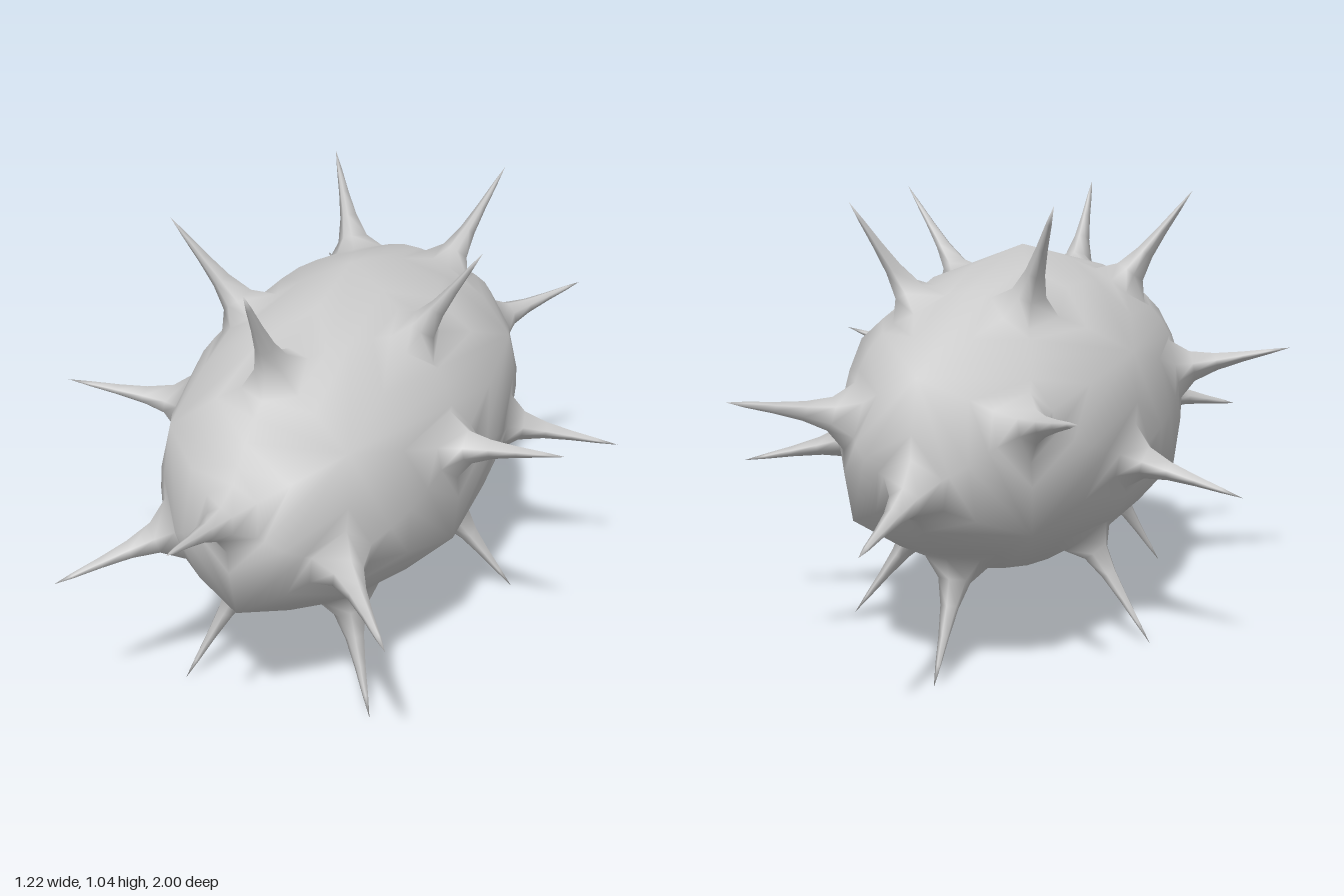
import * as THREE from 'three';
import { mergeVertices } from 'three/addons/utils/BufferGeometryUtils.js';

const CENTRE_Y = 0.52;
const BODY = new THREE.Vector3(0.393, 0.393, 0.782); // ellipsoid radii of the hull
const TIPS = new THREE.Vector3(0.652, 0.652, 1.018); // ellipsoid through the spike tips

// Spike rings from tip to root: [radius, height along the spike axis]
const SPIKE = [[0.007, 0.205], [0.014, 0.14], [0.024, 0.075], [0.042, 0.02], [0.085, -0.012]];

// The 20 triangles of an icosahedron standing on a corner, wound outwards
function icosahedronFaces() {
  const ring = (k, y, shift) => {
    const a = (k * 72 + shift) * Math.PI / 180, r = Math.sqrt(0.8);
    return new THREE.Vector3(Math.sin(a) * r, y, Math.cos(a) * r);
  };
  const top = new THREE.Vector3(0, 1, 0), bottom = new THREE.Vector3(0, -1, 0);
  const faces = [];
  for (let k = 0; k < 5; k++) {
    const u0 = ring(k, Math.sqrt(0.2), 36), u1 = ring(k + 1, Math.sqrt(0.2), 36);
    const l0 = ring(k, -Math.sqrt(0.2), 0), l1 = ring(k + 1, -Math.sqrt(0.2), 0);
    faces.push([top, u0, u1], [u0, l1, u1], [l0, l1, u0], [bottom, l1, l0]);
  }
  return faces;
}

// One hull panel rising into a spike: six-sided loops from the tip to the panel border
function panelLoops([a, b, c]) {
  const dir = a.clone().add(b).add(c).normalize();
  const root = dir.clone().multiply(BODY);
  const tip = dir.clone().multiply(TIPS);
  const axis = tip.clone().sub(root).normalize();
  const mid = (p, q) => p.clone().add(q).normalize();
  const border = [a, mid(a, b), b, mid(b, c), c, mid(c, a)];
  const edge = border.map((p, i) => p.clone().multiply(BODY).multiplyScalar(i % 2 ? 0.95 : 1));
  const loops = [edge.map(() => tip)];
  for (const [r, h] of SPIKE) {
    loops.push(edge.map((e) => e.clone().sub(root).setLength(r)
      .add(root).addScaledVector(axis, h)));
  }
  // slightly sunken skirt between spike root and border
  loops.push(border.map((p, i) => dir.clone().lerp(p, i % 2 ? 0.68 : 0.55).normalize()
    .multiply(BODY).multiplyScalar(0.945)));
  loops.push(edge);
  return loops;
}

export function createModel() {
  const positions = [];
  const triangle = (...pts) => pts.forEach((p) => positions.push(p.x, p.y, p.z));
  for (const face of icosahedronFaces()) {
    const loops = panelLoops(face);
    for (let j = 0; j < loops.length - 1; j++) {
      for (let i = 0; i < 6; i++) {
        const n = (i + 1) % 6;
        const inner = loops[j], outer = loops[j + 1];
        triangle(inner[i], outer[i], outer[n]);
        if (j > 0) triangle(inner[i], outer[n], inner[n]);
      }
    }
  }
  let geometry = new THREE.BufferGeometry();
  geometry.setAttribute('position', new THREE.Float32BufferAttribute(positions, 3));
  geometry = mergeVertices(geometry, 1e-4);
  geometry.computeVertexNormals();

  const body = new THREE.Mesh(geometry, new THREE.MeshStandardMaterial({ color: 0xcccccc }));
  body.name = 'spikedBody';
  body.position.y = CENTRE_Y;
  const group = new THREE.Group();
  group.name = 'spikyPod';
  group.add(body);
  return group;
}
